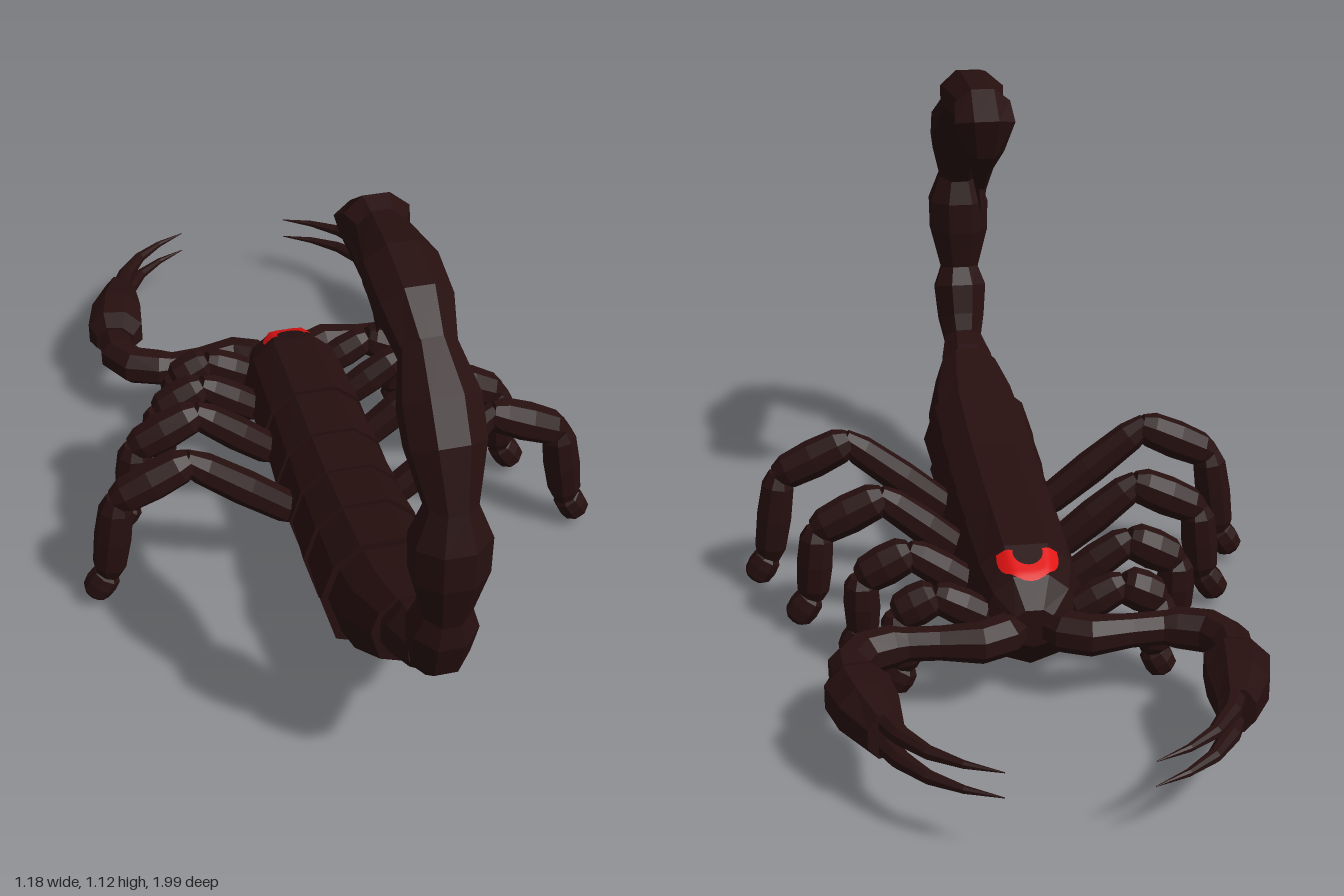
import * as THREE from 'three';

const shell = new THREE.MeshStandardMaterial({ color: 0x260f0f });
const eyeRed = new THREE.MeshStandardMaterial({ color: 0xe01212, side: THREE.DoubleSide });
const X = new THREE.Vector3(1, 0, 0), Y = new THREE.Vector3(0, 1, 0), Z = new THREE.Vector3(0, 0, 1);

const circle = (n) => Array.from({ length: n }, (_, i) => {
  const a = ((i + 0.5) / n) * Math.PI * 2;
  return [Math.cos(a), Math.sin(a)];
});
const OCT = circle(8);

// Body outline: keeled belly, wide flanks, flattened back
const BODY = [[0, -1], [0.75, -0.74], [1, 0.08], [0.8, 0.66], [0.38, 1], [-0.38, 1], [-0.8, 0.66], [-1, 0.08], [-0.75, -0.74]];

// Faceted closed skin over rings [x, y, z, halfWidth along side, halfHeight]
function loft(name, rings, side, section = OCT, tangent = null) {
  const centres = rings.map((r) => new THREE.Vector3(r[0], r[1], r[2]));
  const loops = rings.map((r, i) => {
    const t = tangent ? tangent.clone() : centres[Math.min(i + 1, rings.length - 1)].clone()
      .sub(centres[Math.max(i - 1, 0)]).normalize();
    const up = t.clone().cross(side).normalize();
    return section.map(([c, s]) => centres[i].clone().addScaledVector(side, c * r[3]).addScaledVector(up, s * (r[4] ?? r[3])));
  });
  const out = [];
  const tri = (...v) => v.forEach((p) => out.push(p.x, p.y, p.z));
  const n = section.length, last = rings.length - 1;
  for (let j = 0; j < n; j++) {
    const k = (j + 1) % n;
    for (let i = 0; i < last; i++) {
      const a = loops[i], b = loops[i + 1];
      tri(a[j], a[k], b[k]);
      tri(a[j], b[k], b[j]);
    }
    tri(centres[0], loops[0][k], loops[0][j]);
    tri(centres[last], loops[last][j], loops[last][k]);
  }
  const g = new THREE.BufferGeometry();
  g.setAttribute('position', new THREE.Float32BufferAttribute(out, 3));
  g.computeVertexNormals();
  const mesh = new THREE.Mesh(g, shell);
  mesh.name = name;
  return mesh;
}

// Bulging limb segment between two points
function segment(name, a, b, r, side) {
  const rings = [[-0.04, 0.6], [0.12, 0.92], [0.5, 1], [0.88, 0.9], [1.04, 0.6]].map(([t, k]) =>
    [0, 1, 2].map((i) => a[i] + (b[i] - a[i]) * t).concat(r * k));
  return loft(name, rings, side);
}

// Body rings: z, bottom, top, halfWidth
const bodyRing = ([z, lo, hi, w]) => [0, (lo + hi) / 2, z, w, (hi - lo) / 2];
const HEAD = [[-0.43, 0.14, 0.225, 0.05], [-0.38, 0.075, 0.28, 0.1], [-0.3, 0.052, 0.315, 0.122], [-0.08, 0.05, 0.322, 0.13]];
const PLATES = [
  [[-0.1, 0.058, 0.312, 0.122], [0.08, 0.05, 0.322, 0.132]],
  [[0.06, 0.056, 0.314, 0.124], [0.22, 0.047, 0.327, 0.134]],
  [[0.2, 0.054, 0.318, 0.126], [0.36, 0.055, 0.344, 0.137]],
  [[0.34, 0.06, 0.33, 0.127], [0.51, 0.073, 0.362, 0.137]],
  [[0.48, 0.085, 0.34, 0.123], [0.6, 0.135, 0.365, 0.115], [0.71, 0.21, 0.39, 0.085]],
];

// Height of the head's back, used to lay the eyes on it
function headTop(x, z) {
  let i = 0;
  while (i < HEAD.length - 2 && z > HEAD[i + 1][0]) i++;
  const t = (z - HEAD[i][0]) / (HEAD[i + 1][0] - HEAD[i][0]);
  const [, lo, hi, w] = HEAD[i].map((v, k) => v + (HEAD[i + 1][k] - v) * t);
  const u = Math.abs(x) / w;
  const s = u < 0.38 ? 1 : 1 - ((u - 0.38) / 0.42) * 0.34;
  return (lo + hi) / 2 + s * (hi - lo) / 2;
}

function eyeArch() {
  const g = new THREE.RingGeometry(0.032, 0.066, 16, 4, -0.2, Math.PI + 0.4);
  const p = g.attributes.position;
  for (let i = 0; i < p.count; i++) {
    const x = p.getX(i), z = -0.325 - p.getY(i);
    p.setXYZ(i, x, headTop(x, z) + 0.006, z);
  }
  g.computeVertexNormals();
  const mesh = new THREE.Mesh(g, eyeRed);
  mesh.name = 'eyes';
  return mesh;
}

// Tail segments: rings of y, z, halfWidth, halfDepth
const TAIL = [
  [[0.3, 0.68, 0.07, 0.075], [0.335, 0.76, 0.068, 0.07], [0.37, 0.84, 0.05, 0.045]],
  [[0.35, 0.83, 0.045, 0.045], [0.42, 0.878, 0.062, 0.068], [0.5, 0.9, 0.07, 0.07], [0.555, 0.918, 0.048, 0.045]],
  [[0.53, 0.915, 0.046, 0.045], [0.65, 0.922, 0.078, 0.07], [0.73, 0.922, 0.08, 0.07], [0.805, 0.92, 0.05, 0.045]],
  [[0.785, 0.925, 0.048, 0.045], [0.9, 0.87, 0.078, 0.068], [0.96, 0.825, 0.08, 0.07], [1.03, 0.745, 0.055, 0.048]],
  [[1.005, 0.775, 0.052, 0.048], [1.06, 0.67, 0.075, 0.066], [1.078, 0.57, 0.077, 0.066], [1.078, 0.42, 0.05, 0.048]],
  [[1.082, 0.46, 0.045, 0.04], [1.085, 0.41, 0.07, 0.056], [1.062, 0.37, 0.075, 0.058], [1.005, 0.385, 0.05, 0.05],
    [0.95, 0.42, 0.028, 0.03], [0.89, 0.442, 0.014, 0.015], [0.835, 0.425, 0.002, 0.002]],
];

// Legs: z, then x,y joints from hip to toe
const LEGS = [
  [-0.36, [0.09, 0.18], [0.2, 0.24], [0.28, 0.2], [0.265, 0.08], [0.295, 0.03]],
  [-0.22, [0.1, 0.18], [0.24, 0.275], [0.345, 0.22], [0.345, 0.095], [0.375, 0.04]],
  [-0.05, [0.1, 0.18], [0.285, 0.33], [0.43, 0.26], [0.445, 0.1], [0.485, 0.045]],
  [0.17, [0.1, 0.18], [0.345, 0.375], [0.505, 0.3], [0.535, 0.1], [0.57, 0.045]],
];
const LEG_PARTS = ['thigh', 'knee', 'shin', 'foot'];
const LEG_RADII = [0.04, 0.045, 0.042, 0.036];

function makeLeg(s, [z, ...joints]) {
  const leg = new THREE.Group();
  leg.name = s > 0 ? 'leftLeg' : 'rightLeg';
  LEG_PARTS.forEach((part, i) => {
    const [a, b] = [joints[i], joints[i + 1]];
    leg.add(segment(part, [s * a[0], a[1], z], [s * b[0], b[1], z], LEG_RADII[i], Z));
  });
  return leg;
}

function makePincer(s) {
  const arm = new THREE.Group();
  arm.name = s > 0 ? 'leftPincer' : 'rightPincer';
  const part = (name, y, pts) => arm.add(loft(name, pts.map(([x, z, h, w]) => [s * x, y, z, h, w ?? h]), Y));
  part('upperArm', 0.175, [[0.03, -0.39, 0.035], [0.065, -0.435, 0.045], [0.115, -0.46, 0.044], [0.2, -0.45, 0.036], [0.29, -0.445, 0.036]]);
  part('foreArm', 0.175, [[0.25, -0.445, 0.03], [0.3, -0.45, 0.044], [0.36, -0.475, 0.046], [0.392, -0.53, 0.046], [0.39, -0.62, 0.036]]);
  part('palm', 0.175, [[0.39, -0.585, 0.045, 0.05], [0.382, -0.625, 0.066, 0.072], [0.365, -0.71, 0.066, 0.066], [0.34, -0.8, 0.05, 0.04]]);
  // Upper and lower claw
  for (const y of [0.2, 0.147]) {
    part('claw', y, [[0.345, -0.77, 0.024], [0.318, -0.84, 0.02], [0.27, -0.91, 0.014], [0.21, -0.96, 0.008], [0.14, -0.998, 0.001]]);
  }
  return arm;
}

export function createModel() {
  const model = new THREE.Group();
  model.name = 'scorpion';
  model.add(loft('head', HEAD.map(bodyRing), X, BODY, Z), eyeArch());
  PLATES.forEach((p) => model.add(loft('bodyPlate', p.map(bodyRing), X, BODY, Z)));
  TAIL.forEach((rings, i) => model.add(loft(i < TAIL.length - 1 ? 'tailSegment' : 'stinger',
    rings.map(([y, z, w, d]) => [0, y, z, w, d]), X)));
  for (const s of [1, -1]) {
    LEGS.forEach((leg) => model.add(makeLeg(s, leg)));
    model.add(makePincer(s));
  }
  return model;
}
